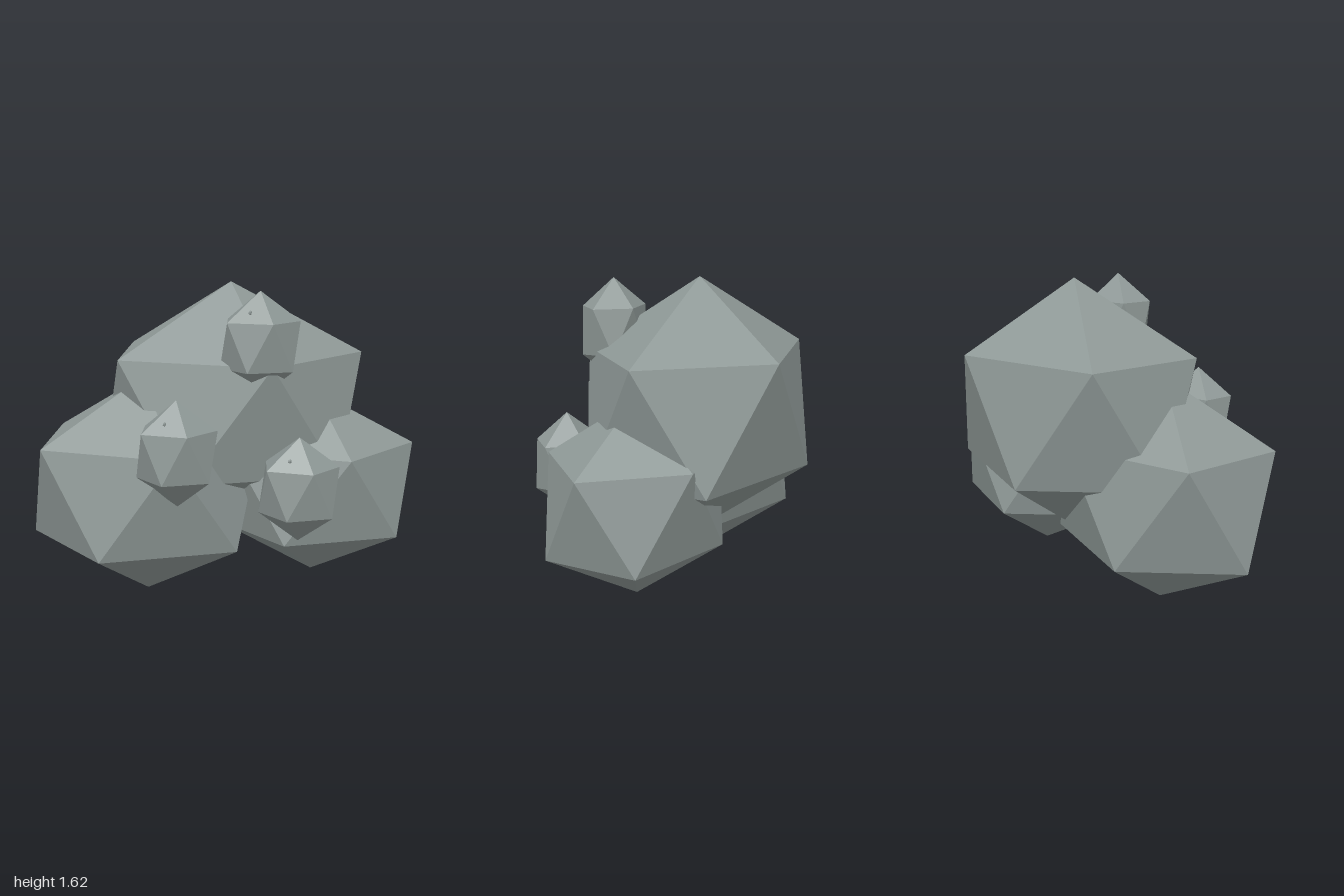
import * as THREE from 'three';

// Icosahedron standing on a vertex, upper ring starting at +x, stretched per axis
function rockGeometry(rx, ry, rz) {
  const g = new THREE.IcosahedronGeometry(1, 0);
  g.rotateZ(-Math.atan2(1, (1 + Math.sqrt(5)) / 2));
  g.scale(rx, ry, rz);
  g.computeVertexNormals();
  return g;
}

export function createModel() {
  const group = new THREE.Group();
  const stone = new THREE.MeshStandardMaterial({ color: 0x8e9896, flatShading: true });
  stone.name = 'stone grey';

  const addRock = (name, radii, position, parent = group) => {
    const mesh = new THREE.Mesh(rockGeometry(...radii), stone);
    mesh.name = name;
    mesh.position.set(...position);
    parent.add(mesh);
    return mesh;
  };

  // Three large boulders
  addRock('topBoulder', [0.77, 0.66, 0.61], [0.04, 0.965, -0.137]);
  addRock('rightBoulder', [0.67, 0.582, 0.542], [-0.4, 0.582, 0.078]);
  addRock('leftBoulder', [0.58, 0.495, 0.465], [0.48, 0.58, -0.017]);

  // Three tall pebbles on the front, each with a tiny chip breaking its upper face
  const pebbles = [
    ['topPebble', [0.19, 1.355, 0.272]],
    ['rightPebble', [-0.2, 0.87, 0.512]],
    ['leftPebble', [0.382, 0.68, 0.447]],
  ];
  for (const [name, position] of pebbles) {
    const pebble = addRock(name, [0.217, 0.26, 0.174], position);
    addRock(name + 'Chip', [0.009, 0.012, 0.009], [-0.048, 0.165, 0.081], pebble);
  }
  return group;
}
